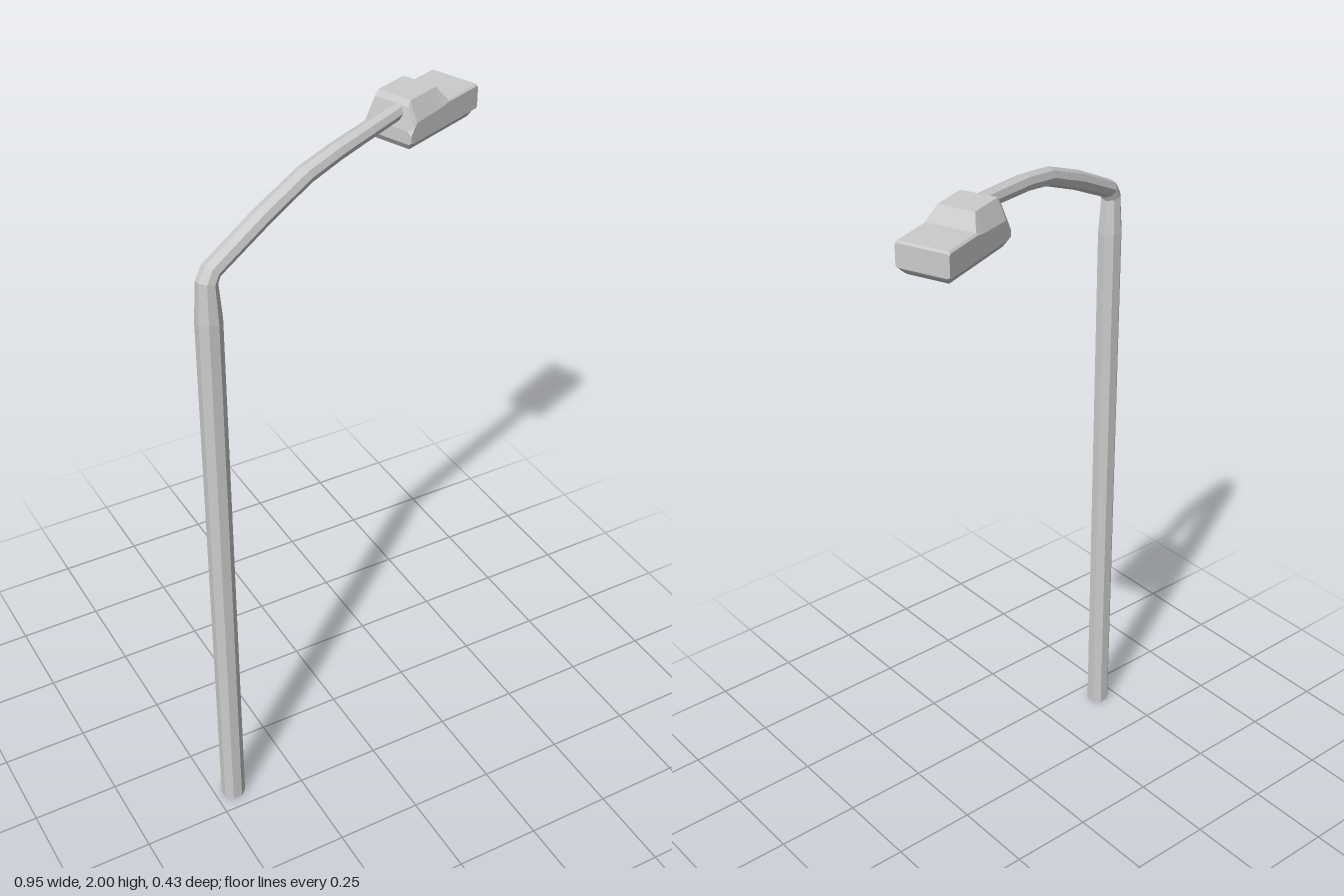
import * as THREE from 'three';

const YAW = 0.372; // heading of the arm and lamp head, turned towards the back
const ALONG = new THREE.Vector3(Math.cos(YAW), 0, -Math.sin(YAW));
const ACROSS = new THREE.Vector3(Math.sin(YAW), 0, Math.cos(YAW));
const material = new THREE.MeshStandardMaterial({ color: 0xcccccc, flatShading: true });

// Skin a list of equal-sized rings of Vector3 and close both ends.
function loft(name, rings) {
  const n = rings[0].length;
  const positions = [];
  const tri = (...pts) => pts.forEach((p) => positions.push(p.x, p.y, p.z));
  for (let i = 0; i < rings.length - 1; i++) {
    for (let j = 0; j < n; j++) {
      const k = (j + 1) % n;
      tri(rings[i][j], rings[i][k], rings[i + 1][k]);
      tri(rings[i][j], rings[i + 1][k], rings[i + 1][j]);
    }
  }
  const first = rings[0];
  const last = rings[rings.length - 1];
  for (let j = 1; j < n - 1; j++) {
    tri(first[0], first[j + 1], first[j]);
    tri(last[0], last[j], last[j + 1]);
  }
  const geometry = new THREE.BufferGeometry();
  geometry.setAttribute('position', new THREE.Float32BufferAttribute(positions, 3));
  geometry.computeVertexNormals();
  const mesh = new THREE.Mesh(geometry, material);
  mesh.name = name;
  return mesh;
}

// Octagonal rings that follow a path of [x, y, z, radius], one edge kept on top.
function tubeRings(path) {
  const centres = path.map(([x, y, z]) => new THREE.Vector3(x, y, z));
  return path.map((p, i) => {
    const tangent = new THREE.Vector3();
    if (i > 0) tangent.add(centres[i].clone().sub(centres[i - 1]).normalize());
    if (i < path.length - 1) tangent.add(centres[i + 1].clone().sub(centres[i]).normalize());
    const up = ACROSS.clone().cross(tangent).normalize();
    return Array.from({ length: 8 }, (_, j) => {
      const a = (j * Math.PI) / 4;
      return centres[i].clone()
        .addScaledVector(up, Math.cos(a) * p[3])
        .addScaledVector(ACROSS, Math.sin(a) * p[3]);
    });
  });
}

export function createModel() {
  const group = new THREE.Group();
  group.name = 'streetLamp';

  // Upright post that narrows at the elbow and runs on into the curved arm
  group.add(loft('poleAndArm', tubeRings([
    [-0.445, 0, 0.183, 0.035],
    [-0.445, 1.66, 0.183, 0.035],
    [-0.445, 1.765, 0.183, 0.028],
    [-0.43, 1.79, 0.178, 0.027],
    [-0.27, 1.867, 0.131, 0.027],
    [-0.13, 1.923, 0.088, 0.026],
    [-0.02, 1.943, 0.05, 0.025],
    [0.22, 1.967, -0.04, 0.023],
  ])));

  // Lamp head: chamfered sections [along, top half-width, top, shoulder, lower edge, bottom half-width, bottom]
  const centre = new THREE.Vector3(0.316, 0, -0.096);
  const sections = [
    [-0.1425, 0.062, 1.925, 1.915, 1.895, 0.068, 1.89],
    [-0.13, 0.054, 1.985, 1.932, 1.892, 0.059, 1.871],
    [-0.12, 0.052, 2.0, 1.945, 1.892, 0.058, 1.87],
    [-0.014, 0.052, 2.0, 1.95, 1.892, 0.058, 1.87],
    [0.014, 0.07, 1.96, 1.955, 1.892, 0.058, 1.87],
    [0.12, 0.07, 1.96, 1.955, 1.892, 0.058, 1.87],
    [0.138, 0.07, 1.96, 1.955, 1.892, 0.066, 1.886],
    [0.1425, 0.068, 1.954, 1.95, 1.896, 0.068, 1.892],
  ];
  group.add(loft('lampHead', sections.map(([u, topW, top, shoulder, lower, lowW, bottom]) => {
    const half = [[topW, top], [0.075, shoulder], [0.075, lower], [lowW, bottom]];
    const outline = [...half, ...half.map(([w, y]) => [-w, y]).reverse()];
    return outline.map(([w, y]) => centre.clone()
      .addScaledVector(ALONG, u).addScaledVector(ACROSS, w).setY(y));
  })));

  return group;
}
